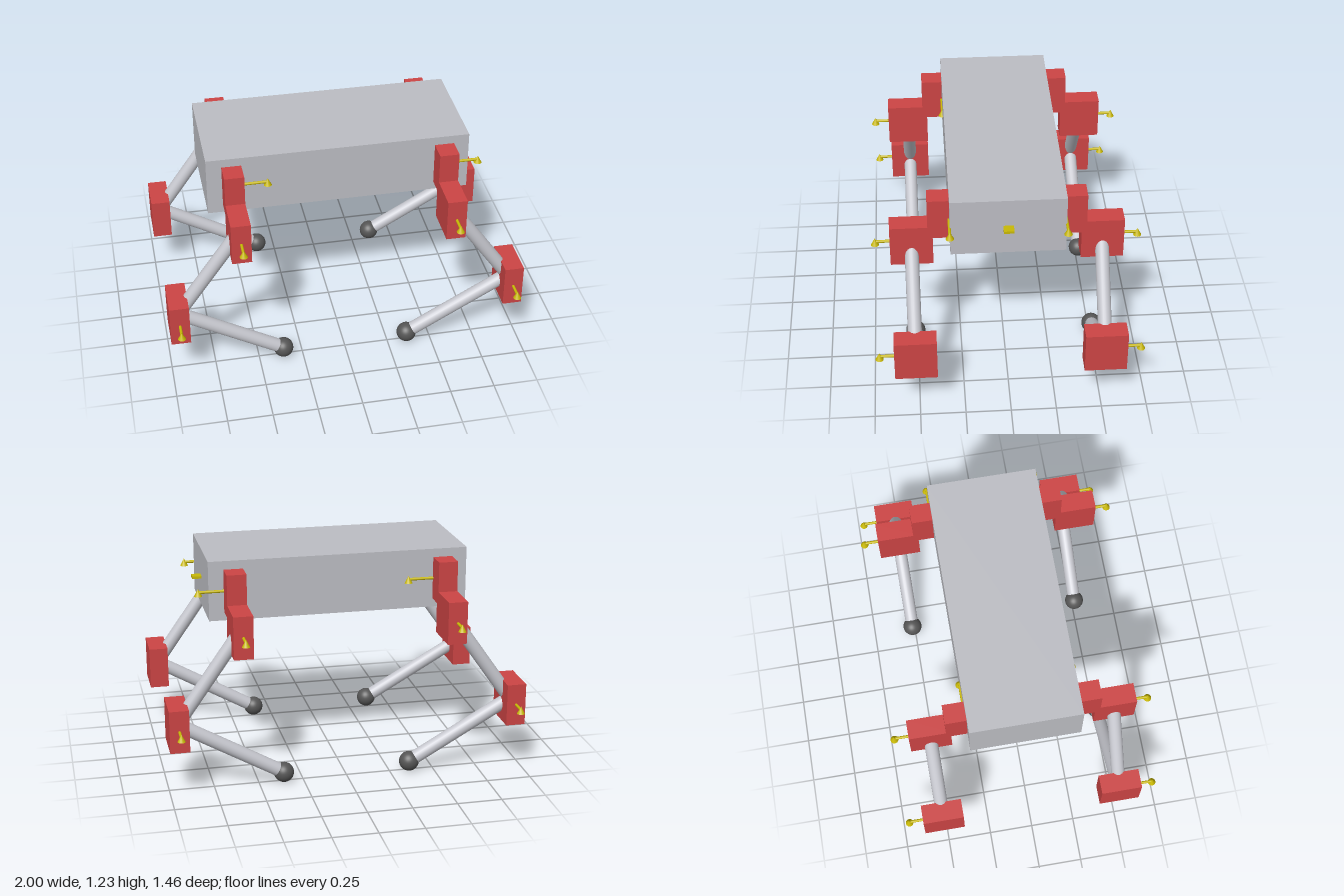
import * as THREE from 'three';

const material = (name, color) => {
  const m = new THREE.MeshStandardMaterial({ color });
  m.name = name;
  return m;
};

export function createModel() {
  const grey = material('bodyGrey', 0xbcbdc3);
  const red = material('motorRed', 0xcc4444);
  const silver = material('limbSilver', 0xc6c7ce);
  const dark = material('footDark', 0x555555);
  const yellow = material('markerYellow', 0xc8b806);
  const blue = material('plateBlue', 0x4664a8);

  const model = new THREE.Group();
  model.name = 'quadrupedRobot';

  const add = (parent, name, geometry, mat, x, y, z) => {
    const mesh = new THREE.Mesh(geometry, mat);
    mesh.name = name;
    mesh.position.set(x, y, z);
    parent.add(mesh);
    return mesh;
  };

  const motorGeometry = new THREE.BoxGeometry(0.108, 0.24, 0.23);
  const coneGeometry = new THREE.ConeGeometry(0.022, 0.042, 20);
  const footGeometry = new THREE.SphereGeometry(0.056, 32, 20);
  const up = new THREE.Vector3(0, 1, 0);

  // Round-ended rod between two points
  const limb = (parent, name, a, b) => {
    const dir = b.clone().sub(a);
    const mid = a.clone().add(b).multiplyScalar(0.5);
    const rod = add(parent, name, new THREE.CapsuleGeometry(0.038, dir.length(), 8, 24), silver, mid.x, mid.y, mid.z);
    rod.quaternion.setFromUnitVectors(up, dir.normalize());
  };

  // Joint axis marker: a thin shaft with an upright cone at its tip
  const axisMarker = (parent, name, origin, dir) => {
    const length = 0.195;
    const group = new THREE.Group();
    group.name = name;
    parent.add(group);
    const mid = origin.clone().addScaledVector(dir, length / 2);
    const tip = origin.clone().addScaledVector(dir, length);
    const shaft = add(group, 'markerShaft', new THREE.CylinderGeometry(0.008, 0.008, length, 12), yellow, mid.x, mid.y, mid.z);
    shaft.quaternion.setFromUnitVectors(up, dir);
    add(group, 'markerCone', coneGeometry, yellow, tip.x, tip.y, tip.z);
  };

  // Body, end sensor and belly plate
  add(model, 'body', new THREE.BoxGeometry(1.456, 0.336, 0.616), grey, 0, 1.07, 0);
  add(model, 'endSensor', new THREE.BoxGeometry(0.056, 0.014, 0.056), yellow, 0.752, 1.071, 0);
  add(model, 'bellyPlate', new THREE.BoxGeometry(0.29, 0.004, 0.06), blue, 0.16, 0.901, 0.05);

  // Four legs, knees pointing outwards
  for (const sx of [-1, 1]) {
    for (const sz of [-1, 1]) {
      const leg = new THREE.Group();
      leg.name = (sx > 0 ? 'left' : 'right') + (sz > 0 ? 'Front' : 'Back') + 'Leg';
      model.add(leg);

      const z = sz * 0.513;
      const shoulder = new THREE.Vector3(sx * 0.59, 1.07, sz * 0.31);
      const hip = new THREE.Vector3(sx * 0.59, 0.9, z);
      const knee = new THREE.Vector3(sx * 0.945, 0.395, z);
      const foot = new THREE.Vector3(sx * 0.36, 0.06, z);

      [['shoulderMotor', shoulder], ['hipMotor', hip], ['kneeMotor', knee]].forEach(([name, p]) =>
        add(leg, name, motorGeometry, red, p.x, p.y, p.z));

      limb(leg, 'upperLeg', hip, knee);
      limb(leg, 'lowerLeg', knee, foot);
      add(leg, 'foot', footGeometry, dark, foot.x, foot.y, foot.z);

      const outward = new THREE.Vector3(0, 0, sz);
      axisMarker(leg, 'shoulderAxis', shoulder, new THREE.Vector3(1, 0, 0));
      axisMarker(leg, 'hipAxis', hip, outward);
      axisMarker(leg, 'kneeAxis', knee, outward);
    }
  }
  return model;
}
